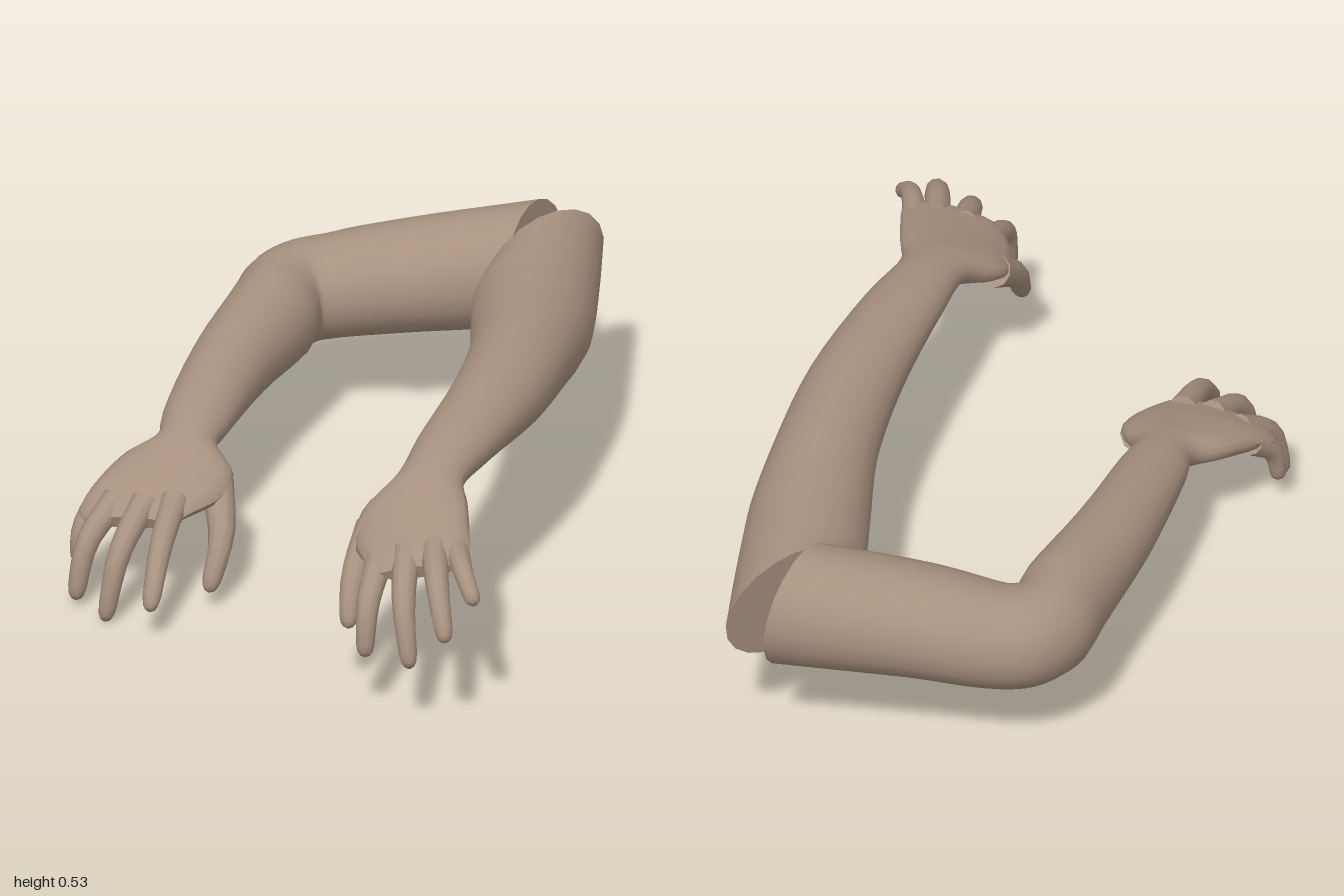
import * as THREE from 'three';
import { toCreasedNormals } from 'three/addons/utils/BufferGeometryUtils.js';

const V = (x, y, z) => new THREE.Vector3(x, y, z);
const skin = new THREE.MeshStandardMaterial({ color: 0xa8917f });

// Skin a list of equal-sized rings and close both ends.
function loft(rings, name) {
  const n = rings[0].length, last = rings.length - 1, pts = rings.flat(), idx = [];
  const centre = (r) => r.reduce((s, p) => s.add(p), V(0, 0, 0)).divideScalar(n);
  const c0 = pts.push(centre(rings[0])) - 1, c1 = pts.push(centre(rings[last])) - 1;
  for (let j = 0; j < n; j++) {
    const k = (j + 1) % n;
    for (let i = 0; i < last; i++) {
      const a = i * n + j, b = i * n + k;
      idx.push(a, b, b + n, a, b + n, a + n);
    }
    idx.push(c0, k, j, c1, last * n + j, last * n + k);
  }
  const geo = new THREE.BufferGeometry().setFromPoints(pts);
  geo.setIndex(idx);
  const mesh = new THREE.Mesh(toCreasedNormals(geo, 0.9), skin);
  mesh.name = name;
  return mesh;
}

// Oval ring around c; a is the half-width vector, b the half-height vector.
function oval(c, a, b, sides) {
  return Array.from({ length: sides }, (_, j) => {
    const t = (j / sides) * Math.PI * 2;
    return c.clone().addScaledVector(a, Math.cos(t)).addScaledVector(b, Math.sin(t));
  });
}

// Limb from stations [edge on its left, edge on its right, half height].
function limb(stations, name) {
  const curve = (k) => new THREE.CatmullRomCurve3(stations.map((s) => V(...s[k])), false, 'centripetal');
  const left = curve(0), right = curve(1), steps = (stations.length - 1) * 4;
  const frames = [];
  for (let i = 0; i <= steps; i++) {
    const l = left.getPoint(i / steps), r = right.getPoint(i / steps);
    const s = Math.min(Math.floor(i / 4), stations.length - 2), f = i / 4 - s;
    frames.push({
      c: l.clone().add(r).multiplyScalar(0.5),
      a: l.clone().sub(r).multiplyScalar(0.5),
      h: THREE.MathUtils.lerp(stations[s][2], stations[s + 1][2], f),
    });
  }
  return loft(frames.map(({ c, a, h }, i) => {
    const t = frames[Math.min(i + 1, steps)].c.clone().sub(frames[Math.max(i - 1, 0)].c);
    return oval(c, a, t.cross(a).setLength(h), 20);
  }), name);
}

// Bent, tapering finger with a rounded tip.
function finger(name, points, r0, r1) {
  const curve = new THREE.CatmullRomCurve3(points.map((p) => V(...p)));
  const stops = [0, 0.15, 0.3, 0.45, 0.6, 0.75, 0.88, 0.95, 0.985, 1];
  const round = { 7: 0.85, 8: 0.55, 9: 0.15 };
  return loft(stops.map((u, i) => {
    const t = curve.getTangent(u), r = THREE.MathUtils.lerp(r0, r1, u) * (round[i] ?? 1);
    const a = V(0, 1, 0).cross(t).setLength(r);
    return oval(curve.getPoint(u), a, t.clone().cross(a).setLength(r), 10);
  }), name);
}

function arm(name, stations, digits) {
  const group = new THREE.Group();
  group.name = name;
  group.add(limb(stations, name + 'AndPalm'));
  for (const [part, points, r0 = 0.034, r1 = 0.021] of digits) group.add(finger(part, points, r0, r1));
  return group;
}

export function createModel() {
  const model = new THREE.Group();
  model.name = 'pairOfArms';

  // Nearly straight arm: shoulder cut, elbow, forearm, wrist, knuckles
  model.add(arm('leftArm', [
    [[0.545, 0.4, -0.975], [0.29, 0.37, -0.67], 0.135],
    [[0.565, 0.385, -0.72], [0.275, 0.375, -0.61], 0.14],
    [[0.575, 0.38, -0.51], [0.285, 0.385, -0.49], 0.14],
    [[0.56, 0.41, -0.31], [0.308, 0.41, -0.26], 0.12],
    [[0.52, 0.435, 0], [0.296, 0.435, 0], 0.096],
    [[0.44, 0.45, 0.3], [0.25, 0.445, 0.31], 0.065],
    [[0.385, 0.44, 0.48], [0.222, 0.43, 0.47], 0.05],
    [[0.405, 0.43, 0.58], [0.15, 0.375, 0.56], 0.048],
    [[0.42, 0.41, 0.67], [0.145, 0.34, 0.65], 0.048],
    [[0.43, 0.385, 0.77], [0.185, 0.34, 0.76], 0.036],
    [[0.41, 0.37, 0.81], [0.21, 0.33, 0.8], 0.018],
  ], [
    ['thumb', [[0.18, 0.36, 0.59], [0.148, 0.28, 0.69], [0.142, 0.175, 0.765]], 0.042],
    ['indexFinger', [[0.215, 0.345, 0.73], [0.2, 0.28, 0.85], [0.196, 0.16, 0.885]]],
    ['middleFinger', [[0.28, 0.375, 0.74], [0.29, 0.31, 0.895], [0.312, 0.17, 0.96]]],
    ['ringFinger', [[0.345, 0.385, 0.74], [0.37, 0.355, 0.89], [0.4, 0.255, 0.985]]],
    ['littleFinger', [[0.395, 0.385, 0.73], [0.425, 0.375, 0.84], [0.462, 0.325, 0.915]], 0.03, 0.019],
  ]));

  // Bent arm: upper arm runs sideways, then turns forward at the elbow
  model.add(arm('rightArm', [
    [[0.35, 0.38, -0.69], [0.45, 0.4, -0.99], 0.152],
    [[0.1, 0.355, -0.665], [0.1, 0.355, -0.955], 0.135],
    [[-0.07, 0.325, -0.667], [-0.08, 0.325, -0.93], 0.125],
    [[-0.088, 0.32, -0.66], [-0.2, 0.318, -0.885], 0.125],
    [[-0.09, 0.318, -0.64], [-0.285, 0.315, -0.78], 0.125],
    [[-0.095, 0.317, -0.59], [-0.315, 0.315, -0.63], 0.125],
    [[-0.17, 0.315, -0.34], [-0.367, 0.315, -0.37], 0.1],
    [[-0.233, 0.305, -0.05], [-0.4, 0.305, -0.06], 0.062],
    [[-0.255, 0.295, 0.05], [-0.402, 0.292, 0.03], 0.05],
    [[-0.205, 0.265, 0.14], [-0.47, 0.275, 0.09], 0.048],
    [[-0.22, 0.245, 0.22], [-0.535, 0.235, 0.19], 0.048],
    [[-0.29, 0.235, 0.31], [-0.56, 0.2, 0.25], 0.034],
    [[-0.33, 0.22, 0.34], [-0.545, 0.19, 0.28], 0.018],
  ], [
    ['thumb', [[-0.245, 0.25, 0.15], [-0.218, 0.165, 0.27], [-0.24, 0.05, 0.345]], 0.042],
    ['indexFinger', [[-0.33, 0.25, 0.27], [-0.345, 0.195, 0.43], [-0.357, 0.087, 0.545]]],
    ['middleFinger', [[-0.4, 0.245, 0.27], [-0.445, 0.17, 0.41], [-0.475, 0.01, 0.45]]],
    ['ringFinger', [[-0.47, 0.235, 0.24], [-0.53, 0.16, 0.335], [-0.555, 0.025, 0.37]]],
    ['littleFinger', [[-0.51, 0.225, 0.2], [-0.55, 0.165, 0.255], [-0.562, 0.08, 0.27]], 0.03, 0.019],
  ]));
  return model;
}
